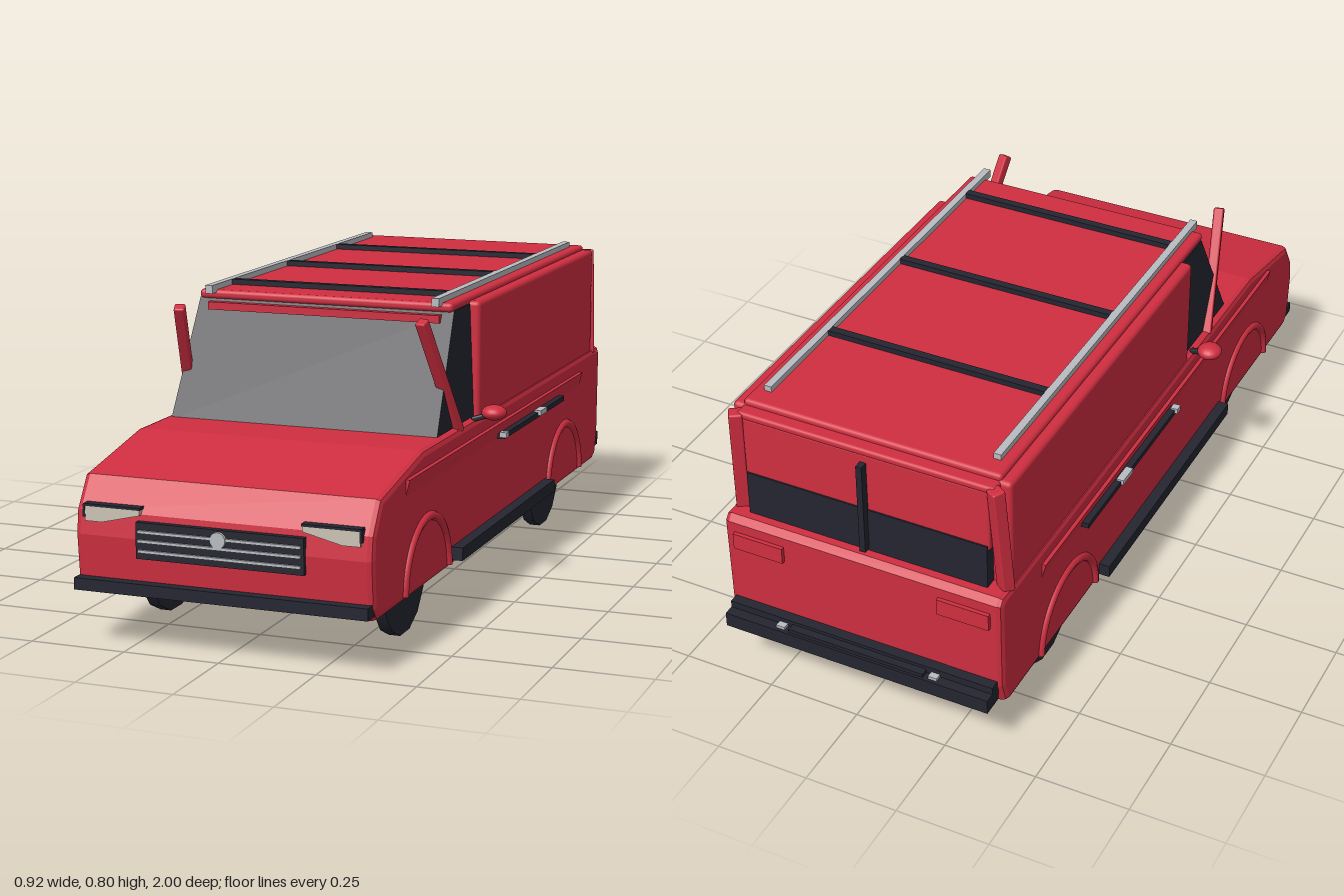
import * as THREE from 'three';
import { RoundedBoxGeometry } from 'three/addons/geometries/RoundedBoxGeometry.js';

const mat = (name, color) => Object.assign(new THREE.MeshStandardMaterial({ color }), { name });

export function createModel() {
  const van = new THREE.Group();
  van.name = 'van';
  const red = mat('red paint', 0xcf2e40);
  const dark = mat('dark trim and glass', 0x252531);
  const silver = mat('silver', 0xb9bcc0);
  const lamp = mat('lamp', 0xcac4b4);

  const add = (name, geo, material, x = 0, y = 0, z = 0) => {
    const mesh = new THREE.Mesh(geo, material);
    mesh.name = name;
    mesh.position.set(x, y, z);
    van.add(mesh);
    return mesh;
  };
  const box = (name, material, w, h, d, x, y, z) =>
    add(name, new THREE.BoxGeometry(w, h, d), material, x, y, z);
  const rounded = (name, material, w, h, d, x, y, z, r = 0.01) =>
    add(name, new RoundedBoxGeometry(w, h, d, 2, r), material, x, y, z);
  const shapeOf = (pts) => new THREE.Shape(pts.map(([a, b]) => new THREE.Vector2(a, b)));

  // Side profile of [z, y] points extruded across the width
  const across = (pts, half, bevel) => {
    const geo = new THREE.ExtrudeGeometry(shapeOf(pts), {
      depth: 2 * (half - bevel), bevelEnabled: bevel > 0, bevelSize: bevel,
      bevelThickness: bevel, bevelOffset: -bevel, bevelSegments: 2,
    });
    geo.translate(0, 0, bevel - half);
    return geo.rotateY(-Math.PI / 2);
  };
  // Rectangular bar between two points
  const beam = (name, material, a, b, w, d) => {
    const p = new THREE.Vector3(...a), q = new THREE.Vector3(...b);
    const mesh = rounded(name, material, w, d, p.distanceTo(q), 0, 0, 0, 0.005);
    mesh.position.copy(p).add(q).multiplyScalar(0.5);
    mesh.lookAt(q);
    return mesh;
  };

  // Lower body with sloping hood
  add('lowerBody', across([
    [0.945, 0.13], [0.97, 0.16], [0.98, 0.28], [0.972, 0.34], [0.922, 0.417], [0.63, 0.472],
    [-0.935, 0.472], [-0.95, 0.455], [-0.945, 0.2], [-0.925, 0.14], [-0.9, 0.13],
  ], 0.385, 0.015), red);

  // Cab glass, narrowing slightly toward the roof
  const glass = across([[0.48, 0.465], [0.315, 0.765], [0.18, 0.765], [0.18, 0.465]], 0.364, 0);
  const gp = glass.attributes.position;
  for (let i = 0; i < gp.count; i++) if (gp.getY(i) > 0.6) gp.setX(i, gp.getX(i) * 0.965);
  glass.computeVertexNormals();
  add('cabGlass', glass, dark);

  // Cargo box, roof and windscreen header
  rounded('cargoBox', red, 0.756, 0.32, 1.07, 0, 0.612, -0.345, 0.012);
  rounded('roofPanel', red, 0.7, 0.024, 1.2, 0, 0.773, -0.275, 0.01);
  box('windscreenHeader', red, 0.64, 0.02, 0.02, 0, 0.745, 0.33);

  // Rear window, tailgate panel and divider
  box('rearWindow', dark, 0.66, 0.13, 0.04, 0, 0.53, -0.893);
  rounded('rearUpperPanel', red, 0.67, 0.175, 0.04, 0, 0.668, -0.889, 0.006);
  box('rearDivider', dark, 0.016, 0.255, 0.025, 0, 0.605, -0.919);
  rounded('rearRoofLip', red, 0.7, 0.02, 0.06, 0, 0.76, -0.88, 0.008);

  // Grille with bars and plain badge disc
  box('grille', dark, 0.434, 0.09, 0.03, 0, 0.28, 0.975);
  for (const y of [0.255, 0.28, 0.303]) box('grilleBar', silver, 0.42, 0.007, 0.008, 0, y, 0.992);
  add('grilleDisc', new THREE.CylinderGeometry(0.02, 0.02, 0.01, 20).rotateX(Math.PI / 2), silver, 0, 0.301, 0.993);

  // Bumpers
  box('frontBumper', dark, 0.76, 0.03, 0.05, 0, 0.16, 0.975);
  box('rearBumper', dark, 0.74, 0.04, 0.06, 0, 0.176, -0.97);
  box('rearBumperStep', dark, 0.74, 0.022, 0.035, 0, 0.204, -0.955);
  box('rearBumperCentre', dark, 0.38, 0.012, 0.035, 0, 0.2, -0.976);

  // Roof crossbars
  for (const z of [0.215, -0.16, -0.535]) box('roofCrossbar', dark, 0.61, 0.014, 0.022, 0, 0.793, z);

  for (const s of [1, -1]) {
    // Headlight wedge with dark brow
    const light = new THREE.ExtrudeGeometry(shapeOf(
      [[0.355, 0.315], [0.355, 0.353], [0.21, 0.352], [0.21, 0.339], [0.31, 0.315]].map(([x, y]) => [s * x, y])),
    { depth: 0.03, bevelEnabled: false });
    add('headlight', light, lamp, 0, 0, 0.953);
    box('headlightBrow', dark, 0.15, 0.006, 0.03, s * 0.283, 0.355, 0.97);
    box('headlightEdge', dark, 0.006, 0.03, 0.03, s * 0.357, 0.34, 0.97);

    // Leaning front and rear pillars
    beam('frontPillar', red, [s * 0.37, 0.46, 0.335], [s * 0.328, 0.765, 0.495], 0.028, 0.028);
    beam('rearPillar', red, [s * 0.366, 0.46, -0.885], [s * 0.352, 0.768, -0.908], 0.034, 0.034);

    // Wheels and arches
    for (const z of [0.605, -0.575]) {
      const tyre = new THREE.CylinderGeometry(0.15, 0.15, 0.03, 14).rotateZ(Math.PI / 2);
      add('wheel', tyre, dark, s * 0.312, 0.148, z);
      add('wheelArch', new THREE.TorusGeometry(0.16, 0.012, 8, 28, Math.PI).rotateY(Math.PI / 2), red, s * 0.384, 0.142, z);
    }

    // Side crease, sill and sliding-door rail
    const crease = new THREE.ExtrudeGeometry(shapeOf(
      [[0.375, 0.43], [0.395, 0.428], [0.385, 0.388], [0.375, 0.388]].map(([x, y]) => [s * x, y])),
    { depth: 1.49, bevelEnabled: false });
    add('sideCrease', crease, red, 0, 0, -0.73);
    box('sideSill', dark, 0.035, 0.034, 0.81, s * 0.397, 0.163, 0.015);
    box('doorRail', dark, 0.025, 0.014, 0.56, s * 0.393, 0.393, -0.225);
    for (const [z, d] of [[0.05, 0.022], [-0.28, 0.06]])
      box('doorHandle', silver, 0.02, 0.014, d, s * 0.403, 0.398, z);

    // Mirror and its arm
    beam('mirrorArm', dark, [s * 0.37, 0.47, 0.225], [s * 0.42, 0.485, 0.215], 0.016, 0.014);
    add('mirror', new THREE.SphereGeometry(1, 20, 14).scale(0.033, 0.02, 0.034), red, s * 0.428, 0.491, 0.217);

    // Tail lamp housings and number-plate lamps
    box('tailLampHousing', red, 0.14, 0.045, 0.014, s * 0.285, 0.405, -0.953);
    box('plateLamp', silver, 0.024, 0.008, 0.018, s * 0.215, 0.2, -0.982);

    // Roof rail
    box('roofRail', silver, 0.02, 0.022, 1.17, s * 0.312, 0.789, -0.235);
  }
  return van;
}
